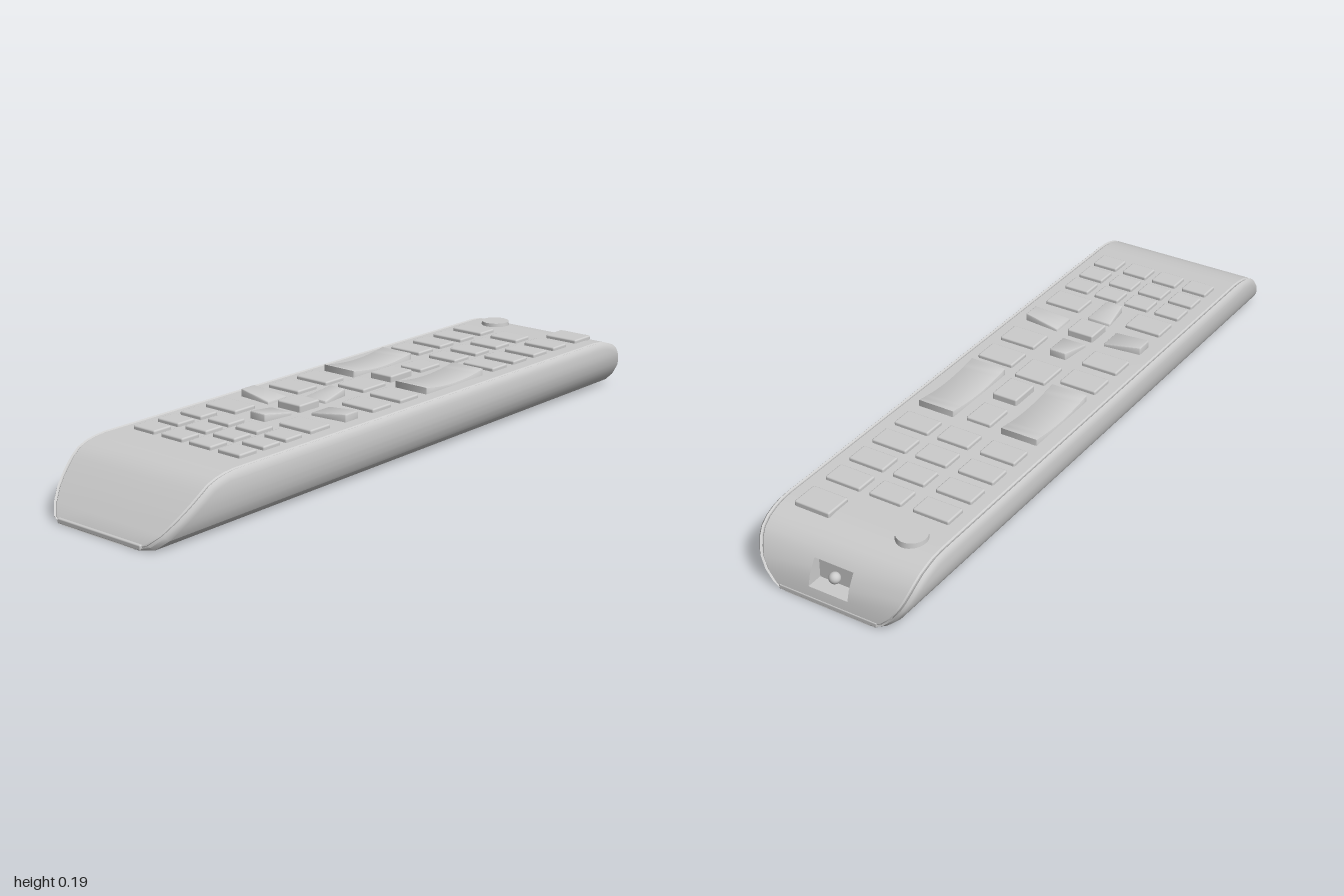
import * as THREE from 'three';
import { mergeGeometries, toCreasedNormals } from 'three/addons/utils/BufferGeometryUtils.js';
import { RoundedBoxGeometry } from 'three/addons/geometries/RoundedBoxGeometry.js';

const material = new THREE.MeshStandardMaterial({ color: 0xcccccc, side: THREE.DoubleSide });
const TOP = 0.167;

// Case levels: height, half width, front z, back z
const LEVELS = [
  [0, 0.152, 1.0, -1.0], [0.015, 0.18, 0.993, -0.998], [0.04, 0.207, 0.968, -0.993],
  [0.07, 0.226, 0.938, -0.985], [0.09, 0.235, 0.916, -0.974], [0.11, 0.242, 0.893, -0.962],
  [0.13, 0.247, 0.869, -0.945], [0.147, 0.249, 0.845, -0.92], [0.158, 0.25, 0.815, -0.89],
  [0.164, 0.25, 0.785, -0.865], [TOP, 0.25, 0.75, -0.83],
];
const N = LEVELS.length;
const NOTCH = { half: 0.06, from: 2, to: 5, floor: -0.945 };

// Lengthwise path: up the back end, over the top, down the front end
function casePath() {
  const path = [
    ...LEVELS.map(([y, w, , zb]) => ({ y, w, z: zb })),
    ...LEVELS.map(([y, w, zf]) => ({ y, w, z: zf })).reverse(),
  ];
  path.forEach((p, i) => {
    const a = path[Math.max(i - 1, 0)], b = path[Math.min(i + 1, path.length - 1)];
    const len = Math.hypot(b.y - a.y, b.z - a.z);
    p.ny = (b.z - a.z) / len;
    p.nz = -(b.y - a.y) / len;
  });
  return path;
}

// Point at width x, sunk below the path surface
const sink = (p, x, depth) => [x, Math.max(0, p.y - p.ny * depth), p.z - p.nz * depth];

// Surface through rows of points, leaving out cells where skip is true
function sheet(rows, skip = () => false) {
  const cols = rows[0].length, index = [];
  for (let r = 0; r < rows.length - 1; r++) {
    for (let c = 0; c < cols - 1; c++) {
      if (skip(r, c)) continue;
      const a = r * cols + c, b = a + cols;
      index.push(a, b, a + 1, a + 1, b, b + 1);
    }
  }
  const g = new THREE.BufferGeometry();
  g.setAttribute('position', new THREE.Float32BufferAttribute(rows.flat(2), 3));
  g.setIndex(index);
  return g;
}

function add(group, name, geometry, x = 0, y = 0, z = 0) {
  const mesh = new THREE.Mesh(geometry, material);
  mesh.name = name;
  mesh.position.set(x, y, z);
  group.add(mesh);
  return mesh;
}

function buildCase(group) {
  const path = casePath();

  // Centre panel with turned-down edges and an opening at the back
  const panelRows = path.map((p) => {
    const w = p.w - 0.017;
    return [sink(p, -w, 0.014), sink(p, -w, 0.003), sink(p, -w + 0.004, 0), sink(p, -NOTCH.half, 0),
      sink(p, NOTCH.half, 0), sink(p, w - 0.004, 0), sink(p, w, 0.003), sink(p, w, 0.014)];
  });
  const panel = sheet(panelRows, (r, c) => c === 3 && r >= NOTCH.from && r < NOTCH.to);
  add(group, 'centrePanel', toCreasedNormals(panel, 0.6));

  // Side shells: rounded rim along the path plus the curved outer wall
  const rim = path.map((p) => [sink(p, p.w - 0.016, 0.014), sink(p, p.w - 0.014, 0.003),
    sink(p, p.w - 0.01, 0), sink(p, p.w - 0.004, 0.006), sink(p, p.w, 0.02)]);
  const wall = LEVELS.map((_, i) => [rim[i][4], rim[2 * N - 1 - i][4]]);
  const shell = toCreasedNormals(mergeGeometries([sheet(rim), sheet(wall)]), 0.7);
  add(group, 'leftShell', shell);
  add(group, 'rightShell', shell).scale.x = -1;

  // Base plate showing as a thin lip at both ends
  add(group, 'basePlate', new RoundedBoxGeometry(0.304, 0.015, 2, 2, 0.004), 0, 0.0075, 0);

  // Recess for the emitter: an inward-facing box following the back end
  const recess = new THREE.BoxGeometry(2 * NOTCH.half, 1, 1, 1, NOTCH.to - NOTCH.from, 1);
  const pos = recess.attributes.position;
  for (let i = 0; i < pos.count; i++) {
    const level = LEVELS[NOTCH.from + Math.round((pos.getY(i) + 0.5) * (NOTCH.to - NOTCH.from))];
    pos.setY(i, level[0]);
    pos.setZ(i, pos.getZ(i) < 0 ? level[3] : NOTCH.floor);
  }
  recess.computeVertexNormals();
  add(group, 'emitterRecess', recess).material =
    new THREE.MeshStandardMaterial({ color: 0xcccccc, side: THREE.BackSide });
  add(group, 'emitter', new THREE.SphereGeometry(0.016, 20, 14), 0, 0.07, -0.962);
}

// Flat key with softened edges
function key(group, name, x, z, w, d, top = 0.178) {
  const h = 0.03;
  add(group, name, new RoundedBoxGeometry(w, h, d, 2, 0.005), x, top - h / 2, z);
}

// Long rocker key with a dished top
function rocker(group, name, x, z) {
  const half = 0.128, s = new THREE.Shape();
  s.moveTo(-half, 0);
  s.lineTo(half, 0);
  for (let i = 0; i <= 16; i++) {
    const t = 1 - i / 8;
    s.lineTo(half * t, 0.021 + 0.012 * t * t);
  }
  const g = new THREE.ExtrudeGeometry(s, {
    depth: 0.107, bevelEnabled: true, bevelThickness: 0.003, bevelSize: 0.003, bevelSegments: 2,
  });
  g.translate(0, 0, -0.0535).rotateY(-Math.PI / 2);
  add(group, name, toCreasedNormals(g, 0.5), x, 0.15, z);
}

// Direction key: narrows and rises away from the pad centre
function arm(group, name, turn, inner, outer) {
  const len = outer - inner, h = 0.03;
  const g = new RoundedBoxGeometry(0.076, h, len, 2, 0.004);
  const pos = g.attributes.position;
  for (let i = 0; i < pos.count; i++) {
    const t = pos.getZ(i) / len + 0.5;
    pos.setX(i, pos.getX(i) * (1 - 0.3 * t));
    if (pos.getY(i) > 0) pos.setY(i, pos.getY(i) + 0.014 * t);
  }
  g.translate(0, 0, inner + len / 2).rotateY(turn);
  add(group, name, toCreasedNormals(g, 0.6), 0, 0.175 - h / 2, 0.26);
}

function buildKeys(group) {
  // Top corners
  add(group, 'powerKey', new THREE.CylinderGeometry(0.042, 0.045, 0.028, 40), -0.144, 0.164, -0.828);
  key(group, 'sourceKey', 0.136, -0.828, 0.11, 0.082);

  // Number block
  for (const z of [-0.706, -0.604, -0.503, -0.401])
    for (const x of [-0.138, 0.002, 0.136]) key(group, 'numberKey', x, z, x > 0 && x < 0.1 ? 0.1 : 0.11, 0.068);

  // Rockers with the middle keys between them
  for (const x of [-0.133, 0.133]) rocker(group, 'rockerKey', x, -0.19);
  key(group, 'middleKey', 0, -0.268, 0.078, 0.09);
  key(group, 'muteKey', 0, -0.136, 0.078, 0.095, 0.186);
  key(group, 'menuKey', 0, -0.005, 0.098, 0.098);

  // Paired side keys
  for (const z of [0.018, 0.135, 0.386])
    for (const x of [-0.136, 0.136]) key(group, 'sideKey', x, z, 0.114, 0.078);

  // Direction pad
  key(group, 'confirmKey', 0, 0.26, 0.084, 0.08, 0.188);
  ['downKey', 'leftArmKey', 'upKey', 'rightArmKey'].forEach((name, i) =>
    arm(group, name, i * Math.PI / 2, i % 2 ? 0.078 : 0.068, i % 2 ? 0.192 : 0.163));

  // Small playback keys
  for (const z of [0.489, 0.573, 0.66])
    for (const x of [-0.154, -0.051, 0.051, 0.154]) key(group, 'playbackKey', x, z, 0.08, 0.063);
}

export function createModel() {
  const model = new THREE.Group();
  model.name = 'remoteControl';
  const body = new THREE.Group();
  body.name = 'case';
  const keys = new THREE.Group();
  keys.name = 'keys';
  buildCase(body);
  buildKeys(keys);
  model.add(body, keys);
  return model;
}
